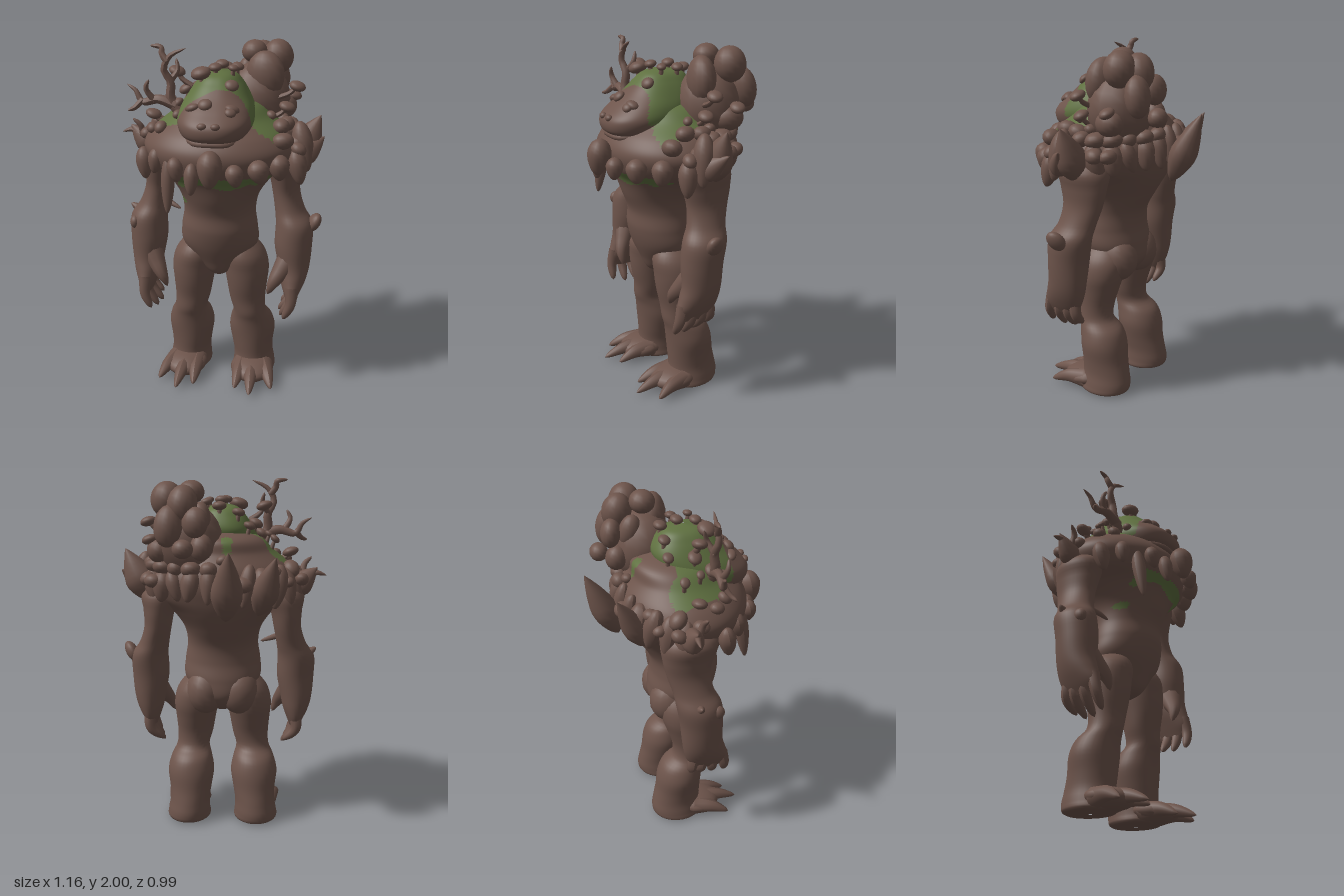
import * as THREE from 'three';

const V = (p) => new THREE.Vector3(...p);
const bark = new THREE.MeshStandardMaterial({ color: 0x6d544b });
bark.name = 'barkBrown';
const moss = new THREE.MeshStandardMaterial({ color: 0x5f7040 });
moss.name = 'mossGreen';

// Small seeded generator for size and tilt variation
function seeded(seed) {
  return () => (seed = (seed * 16807) % 2147483647) / 2147483647;
}

// Smooth body from horizontal (super)ellipses, rows ascending: [y, cx, cz, rx, rz]
function loft(rows, seg = 32, steps = 48, mossRule = null, power = 2) {
  const centre = new THREE.CatmullRomCurve3(rows.map((r) => V([r[1], r[0], r[2]])), false, 'catmullrom');
  const radius = new THREE.CatmullRomCurve3(rows.map((r) => V([r[3], 0, r[4]])), false, 'catmullrom');
  const bend = (s) => Math.sign(s) * Math.abs(s) ** (2 / power);
  const pos = [], brown = [], green = [];
  for (let i = 0; i <= steps; i++) {
    const c = centre.getPoint(i / steps), r = radius.getPoint(i / steps);
    for (let j = 0; j < seg; j++) {
      const a = (j / seg) * Math.PI * 2;
      pos.push(c.x + Math.max(r.x, 0.002) * bend(Math.cos(a)), Math.max(c.y, 0), c.z + Math.max(r.z, 0.002) * bend(Math.sin(a)));
    }
  }
  const add = (...t) => {
    const m = [0, 1, 2].map((k) => (pos[t[0] * 3 + k] + pos[t[1] * 3 + k] + pos[t[2] * 3 + k]) / 3);
    (mossRule && mossRule(...m) ? green : brown).push(...t);
  };
  for (let i = 0; i < steps; i++) for (let j = 0; j < seg; j++) {
    const a = i * seg + j, b = i * seg + ((j + 1) % seg);
    add(a, a + seg, b);
    add(b, a + seg, b + seg);
  }
  const g = new THREE.BufferGeometry();
  g.setAttribute('position', new THREE.Float32BufferAttribute(pos, 3));
  g.setIndex([...brown, ...green]);
  g.addGroup(0, brown.length, 0);
  g.addGroup(brown.length, green.length, 1);
  g.computeVertexNormals();
  return g;
}

// Tapering bent tube for fingers, claws and branches
function horn(points, r0, r1 = 0.004, seg = 10) {
  const curve = new THREE.CatmullRomCurve3(points.map(V));
  const n = 16, g = new THREE.TubeGeometry(curve, n, 1, seg, false), p = g.attributes.position, v = new THREE.Vector3();
  for (let i = 0; i <= n; i++) {
    const t = i / n, c = curve.getPointAt(t), r = THREE.MathUtils.lerp(r0, r1, t) * Math.sqrt(1 - t ** 6) + 0.0005;
    for (let j = 0; j <= seg; j++) {
      const k = i * (seg + 1) + j;
      v.fromBufferAttribute(p, k).sub(c).multiplyScalar(r).add(c);
      p.setXYZ(k, v.x, v.y, v.z);
    }
  }
  g.computeVertexNormals();
  return g;
}

// Unit pebble, a unit fang that narrows downwards, and a unit leaf-shaped thorn
const pebbleGeo = new THREE.SphereGeometry(1, 16, 12);
const fangGeo = new THREE.SphereGeometry(1, 14, 14);
for (let i = 0, p = fangGeo.attributes.position; i < p.count; i++) {
  const k = p.getY(i) < 0.3 ? 1 - 0.25 * (0.3 - p.getY(i)) : 1;
  p.setXYZ(i, p.getX(i) * k, p.getY(i), p.getZ(i) * k);
}
fangGeo.computeVertexNormals();
const thornGeo = new THREE.LatheGeometry(new THREE.SplineCurve(
  [[0, -1], [0.55, -0.75], [1, -0.2], [0.7, 0.35], [0.25, 0.8], [0, 1]].map((p) => new THREE.Vector2(...p))).getPoints(16), 14);

function part(parent, name, geo, mat = bark) {
  const m = new THREE.Mesh(geo, mat);
  m.name = name;
  parent.add(m);
  return m;
}
function blob(parent, name, at, size, rot = [0, 0, 0], geo = pebbleGeo) {
  const m = part(parent, name, geo);
  m.position.set(...at);
  m.scale.set(...size);
  m.rotation.set(...rot);
  return m;
}

// One arm and leg on the +x side
function limbs(name) {
  const g = new THREE.Group();
  g.name = name;
  part(g, 'leg', loft([[0, 0.2, -0.04, 0.01, 0.01], [0.005, 0.2, -0.04, 0.12, 0.14], [0.05, 0.2, -0.05, 0.125, 0.155],
    [0.12, 0.195, -0.05, 0.118, 0.145], [0.2, 0.19, -0.04, 0.125, 0.138], [0.3, 0.188, -0.03, 0.137, 0.135],
    [0.38, 0.185, -0.01, 0.12, 0.125], [0.44, 0.178, 0.03, 0.097, 0.1], [0.52, 0.165, 0.035, 0.105, 0.1],
    [0.62, 0.16, 0.03, 0.118, 0.125], [0.72, 0.155, 0.02, 0.13, 0.145], [0.82, 0.14, 0.02, 0.115, 0.145], [0.92, 0.12, 0.02, 0.04, 0.07]]));
  blob(g, 'foot', [0.205, 0.062, 0.08], [0.13, 0.06, 0.14], [0.1, 0, 0]);
  for (const [x, tip, z, r] of [[0.14, 0.125, 0.28, 0.06], [0.2, 0.22, 0.335, 0.06], [0.27, 0.34, 0.25, 0.058]])
    part(g, 'toe', horn([[x, 0.06, 0.05], [(x + tip) / 2, 0.06, z * 0.6], [tip, 0.022, z]], r, 0.018));
  blob(g, 'buttock', [0.098, 0.8, -0.062], [0.112, 0.135, 0.12]);
  part(g, 'arm', loft([[0.55, 0.425, 0.08, 0.025, 0.08], [0.61, 0.43, 0.07, 0.052, 0.118], [0.68, 0.432, 0.05, 0.077, 0.12],
    [0.76, 0.432, 0.035, 0.092, 0.115], [0.88, 0.425, 0.03, 0.107, 0.12], [1, 0.425, 0.015, 0.105, 0.125],
    [1.08, 0.395, -0.01, 0.085, 0.112], [1.18, 0.37, -0.03, 0.078, 0.12], [1.28, 0.36, -0.03, 0.09, 0.14],
    [1.38, 0.34, -0.02, 0.115, 0.15], [1.47, 0.3, -0.02, 0.04, 0.06]]));
  for (const [z, x, y] of [[0.17, 0.39, 0.46], [0.1, 0.365, 0.445], [0.035, 0.35, 0.45], [-0.02, 0.36, 0.48]])
    part(g, 'finger', horn([[0.43, 0.65, z * 0.8 + 0.01], [0.43, 0.55, z], [x, y, z + 0.01]], 0.038, 0.022));
  part(g, 'thumb', horn([[0.42, 0.82, 0.06], [0.37, 0.74, 0.11], [0.325, 0.67, 0.15], [0.295, 0.6, 0.155]], 0.075, 0.02));
  blob(g, 'brow', [0.105, 1.7, 0.27], [0.04, 0.022, 0.03], [0, 0.3, -0.3]);
  blob(g, 'nostril', [0.035, 1.63, 0.375], [0.025, 0.018, 0.02]);
  return g;
}

export function createModel() {
  const model = new THREE.Group();
  model.name = 'mossTroll';
  const rnd = seeded(77);
  const wave = (x, y, z) => 0.02 * Math.sin(23 * x + 9 * z) + 0.012 * Math.sin(41 * z + 17 * y);

  // Torso with mossy chest and shoulders
  const torsoMoss = (x, y, z) => {
    const w = wave(x, y, z);
    const chest = z > 0.12 && y > 1.275 + w && y < 1.34 && x > -0.2 && x < 0.3;
    const right = x < -0.1 && x > -0.34 + w && y > 1.5 && z > -0.08 + w && z < 0.4 + 0.9 * x + w;
    const left = x > 0.17 && x < 0.33 + w && y > 1.49 && z > -0.08 && z < 0.21 + w;
    const spot = z > 0 && Math.hypot(x + 0.185, y - 1.15) < 0.022;
    const nape = y > 1.5 && Math.hypot(x + 0.03, z + 0.22) < 0.03;
    return chest || right || left || spot || nape;
  };
  const torso = part(model, 'torso', loft([[0.66, 0, 0.04, 0.01, 0.02], [0.7, 0, 0.02, 0.075, 0.115], [0.78, 0, 0.005, 0.16, 0.17],
    [0.88, 0, 0.025, 0.22, 0.192], [0.98, 0, 0.045, 0.218, 0.195], [1.08, 0, 0.04, 0.205, 0.2], [1.18, 0, 0.03, 0.225, 0.245],
    [1.28, 0, 0.02, 0.295, 0.29], [1.36, 0, 0.03, 0.385, 0.33], [1.45, 0, 0.03, 0.425, 0.35], [1.53, 0, 0.02, 0.385, 0.32],
    [1.61, 0, 0, 0.29, 0.25], [1.69, 0, -0.02, 0.2, 0.2], [1.74, 0, -0.02, 0.02, 0.02]], 84, 120, torsoMoss), [bark, moss]);

  // Head with broad muzzle and mossy crown
  const headMoss = (x, y, z) => {
    const w = wave(x, y, z);
    return z > -0.13 + w && z < 0.18 + Math.max(-0.5 * x, 0.25 * x) + w && y > 1.61 + w;
  };
  const head = part(model, 'head', loft([[1.45, 0, 0.1, 0.18, 0.19], [1.52, 0, 0.13, 0.155, 0.21], [1.56, 0, 0.15, 0.185, 0.235],
    [1.62, 0, 0.135, 0.205, 0.25], [1.68, 0, 0.1, 0.195, 0.225], [1.74, 0, 0.06, 0.165, 0.195], [1.8, 0, 0.045, 0.125, 0.15],
    [1.845, 0, 0.04, 0.08, 0.1], [1.865, 0, 0.04, 0.005, 0.005]], 80, 72, headMoss, 2.4), [bark, moss]);
  part(model, 'lowerLip', horn([[-0.17, 1.555, 0.22], [-0.09, 1.53, 0.335], [0, 1.53, 0.355], [0.09, 1.53, 0.335], [0.17, 1.555, 0.22]], 0.015, 0.015));

  // Mirrored limbs
  model.add(limbs('leftLimbs'));
  const right = limbs('rightLimbs');
  right.scale.x = -1;
  model.add(right);

  // Boulder cluster behind the left side of the head
  blob(model, 'boulderBase', [0.18, 1.68, -0.14], [0.185, 0.2, 0.17]);
  for (const [x, y, z, a, b, c] of [[0.23, 1.82, -0.07, 0.11, 0.13, 0.075], [0.285, 1.9, -0.21, 0.085, 0.095, 0.085],
    [0.16, 1.935, -0.14, 0.07, 0.062, 0.07], [0.2, 1.88, -0.27, 0.08, 0.1, 0.08], [0.11, 1.8, -0.22, 0.055, 0.09, 0.06],
    [0.27, 1.77, -0.31, 0.075, 0.11, 0.065], [0.13, 1.79, -0.32, 0.07, 0.08, 0.055], [0.1, 1.66, -0.3, 0.06, 0.07, 0.06],
    [0.19, 1.66, -0.38, 0.055, 0.05, 0.05], [0.33, 1.63, -0.18, 0.07, 0.07, 0.08]])
    blob(model, 'boulder', [x, y, z], [a, b, c], [0.2 * rnd(), 0.6 * rnd() - 0.3, 0.2 * rnd()]);

  // Mushrooms and pebbles dropped onto the surface below: [x, z, radius]
  const ray = new THREE.Raycaster();
  const groundAt = (x, z) => {
    ray.set(V([x, 3, z]), V([0, -1, 0]));
    const hit = ray.intersectObjects([head, torso])[0];
    return hit ? hit.point.y : 1.45;
  };
  for (const [x, z, r] of [[-0.15, -0.08, 0.034], [-0.09, -0.085, 0.036], [0.015, -0.08, 0.04], [0.005, 0.005, 0.038], [0.09, -0.005, 0.034],
    [-0.015, 0.1, 0.036], [-0.085, 0.14, 0.055], [-0.185, 0.05, 0.042], [0.085, 0.17, 0.038], [-0.035, 0.28, 0.038],
    [0.1, 0.3, 0.03], [-0.29, -0.03, 0.03], [-0.26, 0.06, 0.025], [0.08, 0.085, 0.028], [-0.22, 0.13, 0.04]]) {
    const y = groundAt(x, z), face = z > 0.16, lift = face ? 0.005 : 0.025 + 0.15 * Math.abs(x);
    blob(model, 'mushroomCap', [x, y + lift, z], [r, r * 0.6, r * 0.9], [face ? 0.7 : 0.2, 0, -x * 2.5]);
    if (!face) part(model, 'mushroomStem', horn([[x * 0.9, y - 0.02, z], [x, y + lift, z]], 0.014, 0.01, 7));
  }
  for (const [x, z, r] of [[-0.38, -0.09, 0.055], [-0.36, -0.18, 0.04], [-0.29, -0.21, 0.045], [-0.12, -0.32, 0.055], [-0.01, -0.27, 0.035],
    [0.36, 0, 0.055], [0.34, 0.09, 0.055], [0.4, -0.13, 0.055], [0.42, 0.06, 0.05], [0.36, 0.18, 0.06],
    [0.28, 0.04, 0.03], [0.33, -0.06, 0.04], [0.44, 0.12, 0.045], [-0.36, 0.12, 0.04], [-0.42, 0.02, 0.045],
    [-0.3, 0.18, 0.04], [-0.2, 0.2, 0.03], [0.44, -0.05, 0.05], [-0.44, -0.1, 0.045], [0.37, -0.2, 0.05]])
    blob(model, 'pebble', [x, groundAt(x, z) + r * 0.3, z], [r, r * 0.75, r * 0.85], [rnd() - 0.5, rnd() * 3, rnd() - 0.5]);
  for (const [x, y, z] of [[0.41, 1.77, -0.04], [0.36, 1.66, -0.02], [0.38, 1.69, -0.2], [-0.38, 1.6, 0.02], [-0.23, 1.85, 0.06]]) {
    blob(model, 'shelfFungus', [x, y, z], [0.046, 0.026, 0.04], [0.2, 0, -0.3]);
    part(model, 'fungusStem', horn([[x * 0.65, y - 0.08, z], [x * 0.9, y - 0.04, z], [x, y, z]], 0.016, 0.012, 7));
  }

  // Fringe of fangs, front ones placed: [x, y, z, radius, half length, tilt]
  for (const [x, y, z, r, h, tilt] of [[-0.4, 1.36, 0.17, 0.05, 0.09, 0.1], [-0.315, 1.4, 0.25, 0.045, 0.07, -0.1], [-0.235, 1.29, 0.31, 0.04, 0.16, 0],
    [-0.18, 1.39, 0.36, 0.045, 0.065, 0.2], [-0.09, 1.35, 0.39, 0.042, 0.085, 0], [0.015, 1.42, 0.43, 0.07, 0.1, 0], [0.14, 1.385, 0.4, 0.05, 0.06, 0.2],
    [0.255, 1.39, 0.33, 0.06, 0.065, 0.3], [0.35, 1.39, 0.23, 0.06, 0.07, 0.1], [0.44, 1.37, 0.13, 0.055, 0.1, 0.2], [0.46, 1.46, 0.05, 0.06, 0.14, 0.2]])
    blob(model, 'frontFang', [x, y, z], [r, h, r], [-0.15, 0, tilt], fangGeo);
  for (let i = 0; i < 12; i++) {
    const a = Math.PI * (1.06 + (0.9 * i) / 11), r = 0.044 + 0.018 * rnd(), h = 0.085 + 0.045 * rnd();
    blob(model, 'backFang', [0.4 * Math.cos(a), 1.4 - 0.06 * Math.sin(a), 0.315 * Math.sin(a)], [r, h, r], [0.2, 0, rnd() * 0.5 - 0.25], fangGeo);
    if (i > 5) blob(model, 'collarPebble', [0.39 * Math.cos(a), 1.54, 0.3 * Math.sin(a)], [r, 0.042, r], [rnd(), rnd(), 0]);
  }

  // Large leaf-shaped thorns on the shoulders and back: foot, tip, radius
  for (const [foot, tip, r] of [[[0.4, 1.32, -0.03], [0.545, 1.62, -0.03], 0.09], [[-0.03, 1.27, -0.33], [-0.05, 1.66, -0.5], 0.085],
    [[-0.2, 1.28, -0.22], [-0.29, 1.62, -0.38], 0.075], [[0.4, 1.36, 0.07], [0.57, 1.5, -0.03], 0.07], [[-0.37, 1.36, -0.03], [-0.53, 1.52, -0.03], 0.07]]) {
    const a = V(foot), axis = V(tip).sub(a), h = axis.length() / 2;
    const m = blob(model, 'thorn', a.addScaledVector(axis, 0.5).toArray(), [r, h, r * 0.85], [0, 0, 0], thornGeo);
    m.quaternion.setFromUnitVectors(V([0, 1, 0]), axis.normalize());
  }

  // Antler-like branches and side twig on the right
  for (const [r, ...pts] of [
    [0.034, [-0.16, 1.6, 0.14], [-0.25, 1.71, 0.14], [-0.25, 1.8, 0.13], [-0.285, 1.87, 0.14], [-0.25, 1.94, 0.14], [-0.16, 1.985, 0.15]],
    [0.02, [-0.265, 1.91, 0.14], [-0.295, 1.95, 0.13], [-0.3, 1.98, 0.12], [-0.36, 1.99, 0.12]],
    [0.018, [-0.26, 1.8, 0.13], [-0.22, 1.86, 0.1], [-0.23, 1.92, 0.08]],
    [0.032, [-0.22, 1.68, 0.14], [-0.32, 1.71, 0.14], [-0.41, 1.69, 0.13], [-0.45, 1.75, 0.12], [-0.5, 1.78, 0.11]],
    [0.02, [-0.34, 1.7, 0.14], [-0.38, 1.77, 0.16], [-0.36, 1.82, 0.17]], [0.018, [-0.41, 1.7, 0.13], [-0.45, 1.66, 0.16], [-0.48, 1.65, 0.18]],
    [0.034, [-0.38, 1.44, 0], [-0.46, 1.47, -0.01], [-0.52, 1.49, -0.03], [-0.58, 1.475, -0.03]],
    [0.022, [-0.45, 1.47, 0], [-0.46, 1.53, 0.02], [-0.5, 1.57, 0.03]], [0.02, [-0.34, 1.12, 0.02], [-0.28, 1.09, 0.06], [-0.22, 1.065, 0.08]]])
    part(model, 'branch', horn(pts, r, 0.01, 8));

  // Elbow knobs
  blob(model, 'leftElbowKnob', [0.535, 1.01, 0.02], [0.035, 0.065, 0.05], [0.5, 0, -0.5]);
  blob(model, 'rightElbowKnob', [-0.49, 0.975, 0.1], [0.03, 0.04, 0.04]);
  part(model, 'rightElbowThorn', horn([[-0.46, 1, 0], [-0.51, 1.03, 0], [-0.54, 1.05, 0]], 0.04, 0.012));
  return model;
}
